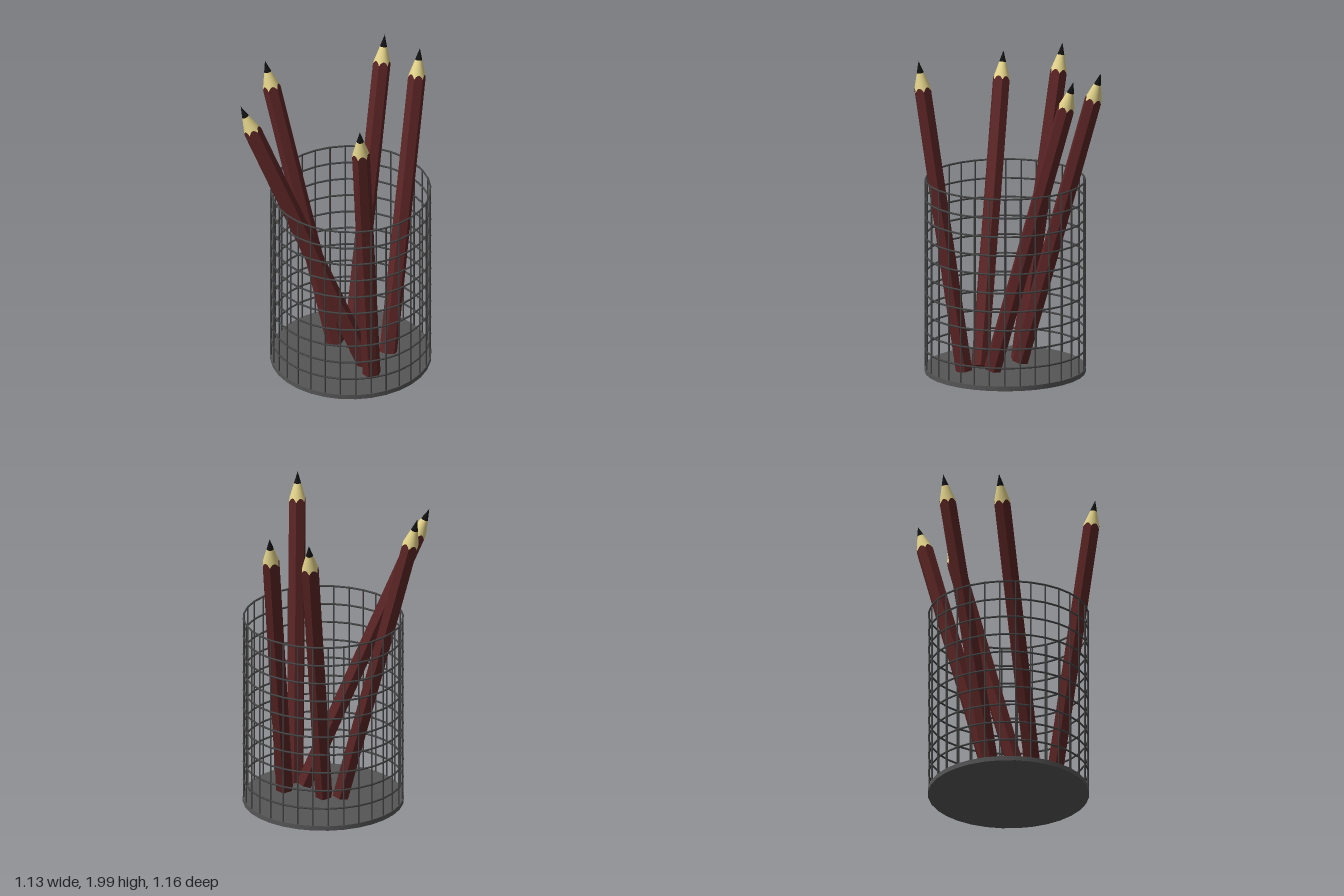
import * as THREE from 'three';

const LENGTH = 1.98, R = 0.056, APOTHEM = R * Math.cos(Math.PI / 6);
const LEAD_R = 0.022, LEAD_H = 0.075, SLOPE = LEAD_H / LEAD_R;

const paint = new THREE.MeshStandardMaterial({ color: 0x5a2424, flatShading: true });
const wood = new THREE.MeshStandardMaterial({ color: 0xe0d088 });
const lead = new THREE.MeshStandardMaterial({ color: 0x111111 });
const metal = new THREE.MeshStandardMaterial({ color: 0x555555 });
const wire = new THREE.MeshStandardMaterial({ color: 0x444444 });

function addMesh(parent, name, geometry, material, x = 0, y = 0, z = 0) {
  const mesh = new THREE.Mesh(geometry, material);
  mesh.name = name;
  mesh.position.set(x, y, z);
  parent.add(mesh);
  return mesh;
}

// Radius of the hexagonal section at an angle (corners at multiples of 60 degrees)
function hexRadius(angle) {
  const side = Math.PI / 3;
  const a = ((angle % side) + side) % side;
  return APOTHEM / Math.cos(a - side / 2);
}

// Pull a round wall onto the hexagon; its sharpened end follows the cone
function fitHexagon(geometry, moves, sharpened) {
  const p = geometry.attributes.position;
  for (let i = 0; i < p.count; i++) {
    const x = p.getX(i), y = p.getY(i), z = p.getZ(i);
    if (Math.hypot(x, z) < 1e-4 || !moves(y)) continue;
    const angle = Math.atan2(x, z), r = hexRadius(angle);
    p.setXYZ(i, r * Math.sin(angle), sharpened(y) ? LENGTH - r * SLOPE : y, r * Math.cos(angle));
  }
  return geometry;
}

function makePencil() {
  const pencil = new THREE.Group();
  pencil.name = 'pencil';
  const bodyH = LENGTH - R * SLOPE, woodTop = LENGTH - LEAD_H;

  const body = new THREE.CylinderGeometry(R, R, bodyH, 36).translate(0, bodyH / 2, 0);
  fitHexagon(body, () => true, (y) => y > bodyH / 2);
  addMesh(pencil, 'paintedBody', body, paint);

  const coneH = woodTop - bodyH;
  const cone = new THREE.CylinderGeometry(LEAD_R, R, coneH, 36, 1, true).translate(0, bodyH + coneH / 2, 0);
  const low = (y) => y < bodyH + coneH / 2;
  fitHexagon(cone, low, low);
  addMesh(pencil, 'sharpenedWood', cone, wood);

  addMesh(pencil, 'leadTip', new THREE.ConeGeometry(LEAD_R, LEAD_H, 36), lead, 0, LENGTH - LEAD_H / 2, 0);
  return pencil;
}

function makeCup() {
  const cup = new THREE.Group();
  cup.name = 'wireCup';
  const radius = 0.494, height = 1.23, count = 32;
  addMesh(cup, 'base', new THREE.CylinderGeometry(0.5, 0.5, 0.03, count), metal, 0, 0.015, 0);

  // Horizontal hoops
  const hoop = new THREE.TorusGeometry(radius, 0.006, 6, count).rotateX(Math.PI / 2);
  for (let i = 0; i < 10; i++) addMesh(cup, 'hoop', hoop, wire, 0, 1.225 - i * 0.12, 0);

  // Upright wires
  const upright = new THREE.CylinderGeometry(0.005, 0.005, height - 0.01, 6);
  for (let i = 0; i < count; i++) {
    const a = (i / count) * Math.PI * 2;
    addMesh(cup, 'uprightWire', upright, wire, radius * Math.sin(a), height / 2, radius * Math.cos(a));
  }
  return cup;
}

export function createModel() {
  const model = new THREE.Group();
  model.name = 'pencilCup';
  const cup = makeCup();
  cup.position.set(0.06, 0, 0.07);
  model.add(cup);

  // Each pencil leans from its foot to its tip
  const placements = [
    [[0.045, 0.07, -0.02], [0.065, 1.98, -0.575]],
    [[0.3, 0.07, 0.055], [0.32, 1.98, -0.5]],
    [[-0.055, 0.05, 0.025], [-0.545, 1.97, -0.06]],
    [[0.195, 0.05, 0.185], [-0.565, 1.87, 0.345]],
    [[0.262, 0.03, 0.262], [0.285, 2.0, 0.56]],
  ];
  for (const [foot, tip] of placements) {
    const pencil = makePencil();
    pencil.position.set(...foot);
    const lean = new THREE.Vector3(...tip).sub(pencil.position).normalize();
    pencil.quaternion.setFromUnitVectors(new THREE.Vector3(0, 1, 0), lean);
    model.add(pencil);
  }
  return model;
}
